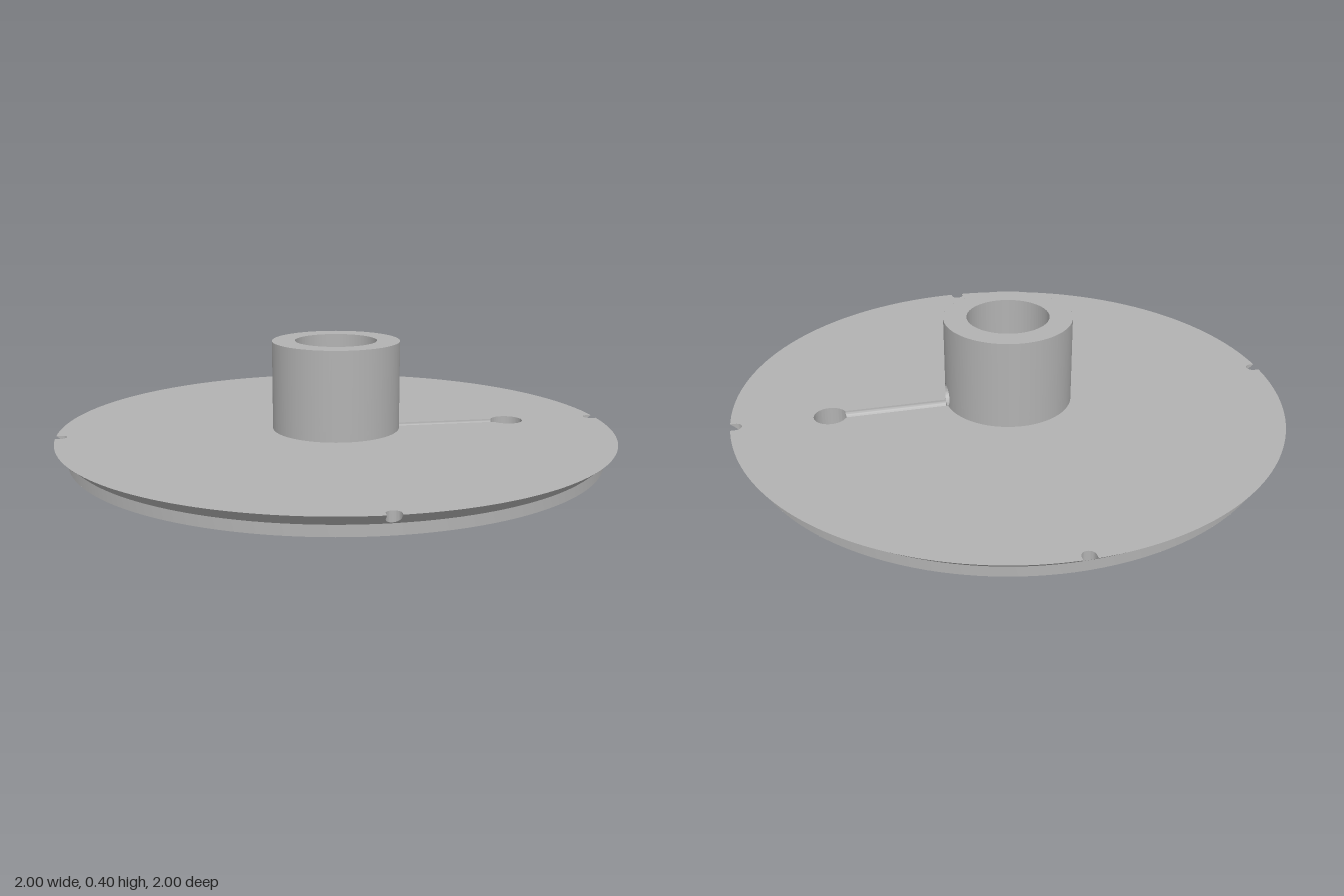
import * as THREE from 'three';
import { toCreasedNormals } from 'three/addons/utils/BufferGeometryUtils.js';

const TOP = 0.075, STEP = 0.036, BASE_R = 0.955;       // disc
const HUB_R = 0.231, BORE_R = 0.148, HUB_TOP = 0.396;  // hub
const CH_R = 0.042, CH_Y = 0.11;                       // cross channel, level with the bore floor
const W = 0.023;                                       // half width of groove and notches
const HOLE_X = 0.652, HOLE_R = 0.059;                  // through hole
const PI = Math.PI;

const half = (r, z) => Math.sqrt(Math.max(0, r * r - z * z));
const range = (n, f) => Array.from({ length: n + 1 }, (_, i) => f(i / n));

// Skin between successive rows of [x, y, z] points
function loft(rows, crease = 0.5) {
  const out = [];
  const a = new THREE.Vector3(), b = new THREE.Vector3(), c = new THREE.Vector3();
  const tri = (p, q, r) => {
    a.set(...p); b.set(...q).sub(a); c.set(...r).sub(a);
    if (b.cross(c).length() > 1e-10) out.push(...p, ...q, ...r);
  };
  for (let j = 0; j < rows.length - 1; j++) {
    for (let i = 0; i < rows[j].length - 1; i++) {
      const p = rows[j][i], q = rows[j][i + 1], r = rows[j + 1][i + 1], s = rows[j + 1][i];
      tri(p, s, q);
      tri(q, s, r);
    }
  }
  const geo = new THREE.BufferGeometry();
  geo.setAttribute('position', new THREE.Float32BufferAttribute(out, 3));
  geo.computeVertexNormals();
  return toCreasedNormals(geo, crease);
}

// Round upright wall whose lower and upper edges depend on position
function wall(cx, r, low, high) {
  const row = (edge) => range(480, (t) => {
    const x = r * Math.cos(t * 2 * PI), z = t === 1 ? 0 : r * Math.sin(t * 2 * PI);
    return [cx + x, edge(x, z), z];
  });
  return loft([row(low), row(high)]);
}

// Half-round surface along x between two end functions of z; side = 1 upper, -1 lower
function halfPipe(r, y, side, x0, x1) {
  const row = (end) => range(32, (t) => {
    const z = r * Math.cos(t * PI);
    return [end(z), y + side * r * Math.sin(t * PI), z];
  });
  return loft([row(x0), row(x1)]);
}

// Flat horizontal face
function flat(points, y, holes = [], up = true) {
  const shape = new THREE.Shape(points);
  shape.holes = holes.map((h) => new THREE.Path(h));
  return new THREE.ShapeGeometry(shape).rotateX(up ? -PI / 2 : PI / 2).translate(0, y, 0);
}
const arc = (cx, r, a0, a1, n) =>
  range(n, (t) => new THREE.Vector2(cx + r * Math.cos(a0 + t * (a1 - a0)), r * Math.sin(a0 + t * (a1 - a0))));

// Rim outline with four round-ended notches
function rimOutline() {
  const pts = [], edge = Math.asin(W), centre = 0.983;
  for (let k = 0; k < 4; k++) {
    const quarter = [
      new THREE.Vector2(Math.cos(edge), -W),
      ...arc(centre, W, -PI / 2, -1.5 * PI, 16),
      ...arc(0, 1, edge, PI / 2 - edge, 48).slice(0, -1),
    ];
    quarter.forEach((p) => pts.push(p.rotateAround(new THREE.Vector2(), k * PI / 2)));
  }
  return pts;
}

export function createModel() {
  const group = new THREE.Group();
  const grey = new THREE.MeshStandardMaterial({ color: 0xb2b2b2, side: THREE.DoubleSide });
  grey.name = 'grey';
  const add = (name, geo) => {
    const mesh = new THREE.Mesh(geo, grey);
    mesh.name = name;
    group.add(mesh);
  };

  // Disc edge: straight foot, flared rim, notch walls
  const rim = rimOutline();
  const closed = [...rim, rim[0]];
  const ring = (f) => closed.map((p) => {
    const [r, y] = f(p.length());
    const k = r / p.length();
    return [p.x * k, y, -p.y * k];
  });
  const cone = (r) => STEP + (r - BASE_R) / (1 - BASE_R) * (TOP - STEP);
  const foot = ring(() => [BASE_R, STEP]), flare = ring((r) => [r, cone(r)]);
  add('discFoot', loft([ring(() => [BASE_R, 0]), foot]));
  add('discFlare', loft([foot, flare]));
  add('notchWalls', loft([flare, ring((r) => [r, TOP])]));

  // Disc faces: keyhole opening on top, round opening below
  const a = Math.asin(W / HUB_R), b = Math.asin(W / HOLE_R);
  const keyhole = [...arc(0, HUB_R, a, 2 * PI - a, 120), ...arc(HOLE_X, HOLE_R, -PI + b, PI - b, 48)];
  add('discTop', flat(rim, TOP, [keyhole]));
  add('discBottom', flat(arc(0, BASE_R, 0, 2 * PI, 192).slice(0, -1), 0,
    [arc(HOLE_X, HOLE_R, 0, 2 * PI, 64).slice(0, -1)], false));

  // Through hole, cut down where the groove enters
  add('throughHole', wall(HOLE_X, HOLE_R, () => 0, (x, z) => TOP - (x < 0 ? half(W, z) : 0)));

  // Groove from hub to hole, with its end face under the channel mouth
  add('groove', halfPipe(W, TOP, -1, (z) => half(HUB_R, z), (z) => HOLE_X - half(HOLE_R, z)));
  const endRow = (f) => range(24, (t) => {
    const z = -W * Math.cos(t * PI);
    return [half(HUB_R, z), f(z), z];
  });
  add('grooveEnd', loft([
    endRow((z) => TOP - half(W, z)),
    endRow((z) => Math.min(TOP, CH_Y - half(CH_R, z))),
  ]));

  // Hub walls opened on the +x side by the channel
  const arch = (x, z) => CH_Y + (x > 0 ? half(CH_R, z) : 0);
  add('hubOuter', wall(0, HUB_R, arch, () => HUB_TOP));
  add('hubSkirt', wall(0, HUB_R, () => TOP,
    (x, z) => Math.max(TOP, CH_Y - (x > 0 ? half(CH_R, z) : 0))));
  add('hubBore', wall(0, BORE_R, arch, () => HUB_TOP));
  add('hubTop', new THREE.RingGeometry(BORE_R, HUB_R, 120).rotateX(-PI / 2).translate(0, HUB_TOP, 0));

  // Bore floor with the channel slot
  const c = Math.asin(CH_R / BORE_R);
  add('boreFloor', flat([
    ...arc(0, BORE_R, c, 2 * PI - c, 96),
    ...arc(0, CH_R, -PI / 2, -1.5 * PI, 32),
  ], CH_Y));

  // Channel: arched tunnel through the wall, trough to the centre, ball end
  add('channelRoof', halfPipe(CH_R, CH_Y, 1, (z) => half(BORE_R, z), (z) => half(HUB_R, z)));
  add('channelTrough', halfPipe(CH_R, CH_Y, -1, () => 0, (z) => half(HUB_R, z)));
  add('channelEnd', new THREE.SphereGeometry(CH_R, 24, 12, -PI / 2, PI, PI / 2, PI / 2).translate(0, CH_Y, 0));

  return group;
}
